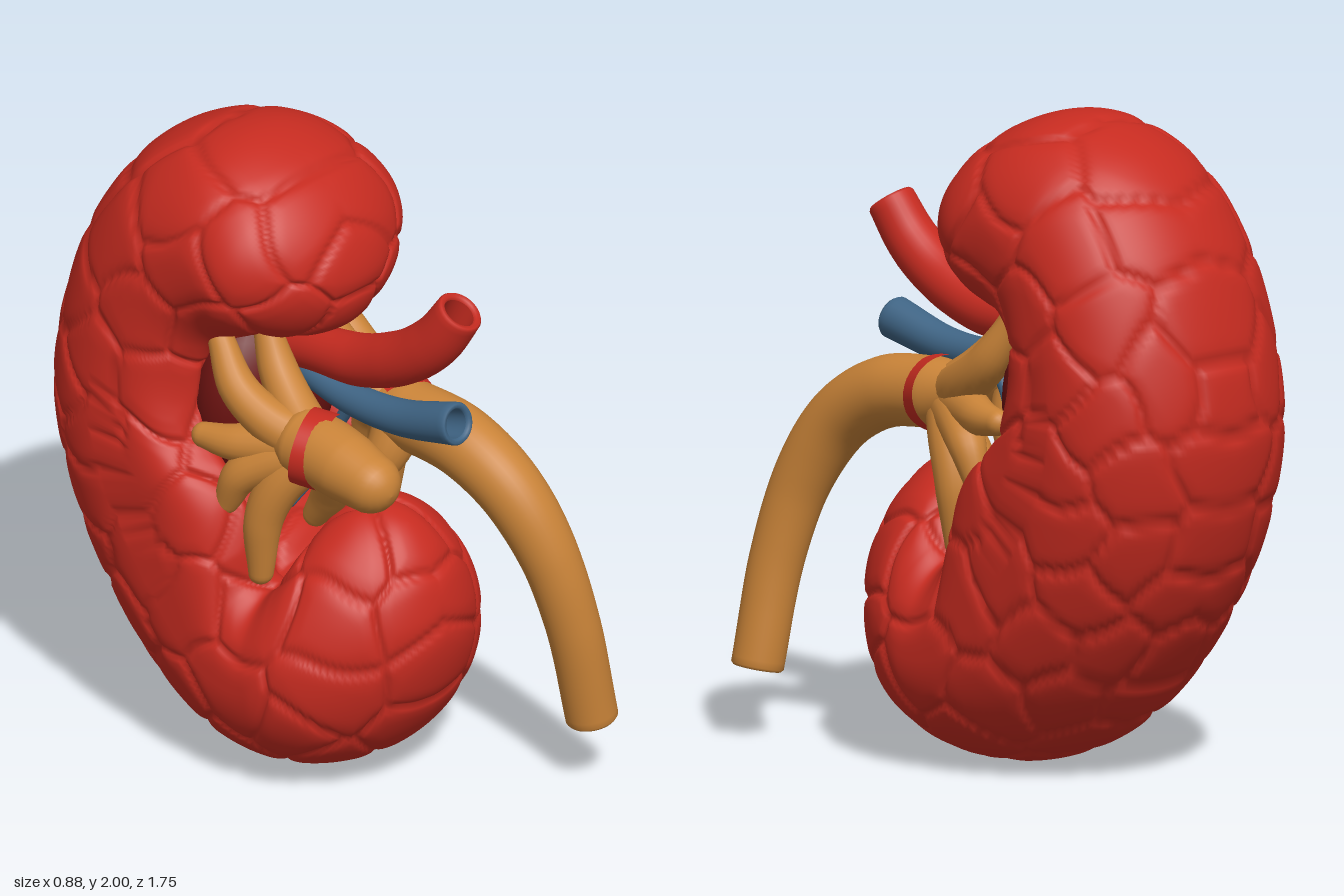
import * as THREE from 'three';

const paint = (name, color) => {
  const m = new THREE.MeshStandardMaterial({ color });
  m.name = name;
  return m;
};
const V = (x, y, z) => new THREE.Vector3(x, y, z);
const smooth = THREE.MathUtils.smoothstep;

// Surface over a grid of points; columns wrap around
function skin(rows) {
  const cols = rows[0].length, pos = [], index = [];
  rows.forEach(row => row.forEach(p => pos.push(p.x, p.y, p.z)));
  for (let i = 0; i < rows.length - 1; i++) {
    for (let j = 0; j < cols; j++) {
      const a = i * cols + j, b = i * cols + (j + 1) % cols;
      index.push(a, b, a + cols, b, b + cols, a + cols);
    }
  }
  const g = new THREE.BufferGeometry();
  g.setAttribute('position', new THREE.Float32BufferAttribute(pos, 3));
  g.setIndex(index);
  g.computeVertexNormals();
  return g;
}

// Tube with changing radius; its end is 'open' (hollow) or 'round'
function vessel(points, radii, end = 'round', sides = 24, n = 40) {
  const curve = new THREE.CatmullRomCurve3(points.map(p => V(...p)));
  const frames = curve.computeFrenetFrames(n);
  const rings = [];
  for (let i = 0; i <= n; i++) {
    const f = (i / n) * (radii.length - 1), k = Math.min(Math.floor(f), radii.length - 2);
    rings.push([i, THREE.MathUtils.lerp(radii[k], radii[k + 1], f - k), 0]);
  }
  const r = radii[radii.length - 1];
  if (end === 'open') {
    rings.push([n, r * 0.92, 0.008], [n, r * 0.74, 0.006], [n, r * 0.68, -0.004], [n, r * 0.68, -0.004]);
    rings.push([n - 6, r * 0.66, 0], [n - 14, r * 0.6, 0], [n - 14, 0, 0]);
  } else {
    for (let k = 1; k <= 6; k++) {
      const a = k * Math.PI / 12;
      rings.push([n, r * Math.cos(a), r * Math.sin(a)]);
    }
  }
  return skin(rings.map(([i, rad, off]) => {
    const c = curve.getPointAt(i / n).addScaledVector(frames.tangents[i], off);
    return Array.from({ length: sides }, (_, j) => {
      const a = (j / sides) * Math.PI * 2;
      return c.clone().addScaledVector(frames.normals[i], rad * Math.cos(a))
        .addScaledVector(frames.binormals[i], rad * Math.sin(a));
    });
  }));
}

// Bean-shaped body: ribs span the outer and inner outline, then lobes are creased in
function bodyGeometry() {
  const outer = [[0.19, 1.62], [0.13, 1.79], [0, 1.92], [-0.22, 1.995], [-0.5, 1.91], [-0.7, 1.69],
    [-0.82, 1.4], [-0.87, 1.08], [-0.81, 0.75], [-0.67, 0.46], [-0.42, 0.17], [-0.15, 0.025],
    [0.1, 0.01], [0.32, 0.1], [0.46, 0.27], [0.53, 0.5], [0.49, 0.72]];
  const inner = [[0.04, 1.4], [-0.05, 1.385], [-0.12, 1.36], [-0.16, 1.32], [-0.18, 1.27], [-0.185, 1.2],
    [-0.18, 1.12], [-0.15, 1.04], [-0.08, 0.98], [-0.01, 0.91], [0.03, 0.82], [0.04, 0.72],
    [0.065, 0.69], [0.09, 0.74], [0.12, 0.81], [0.17, 0.87], [0.24, 0.9]];
  const loop = [[0.14, 1.46], ...outer, [0.38, 0.86], ...inner.slice().reverse()];
  const outline = new THREE.CatmullRomCurve3(loop.map(([z, y]) => V(0, y, z)), true);
  const ribs = outer.length + 1, steps = 260, sides = 180, rows = [];
  for (let i = 0; i <= steps; i++) {
    const r = (i / steps) * ribs;
    const a = outline.getPoint(r / loop.length), b = outline.getPoint((1 - r / loop.length) % 1);
    const c = a.clone().add(b).multiplyScalar(0.5), h = a.clone().sub(b).multiplyScalar(0.5);
    const cap = Math.sin(Math.min(1, r / 3.2, (ribs - r) / 4.8) * Math.PI / 2);
    const width = THREE.MathUtils.lerp(0.39, 0.436, smooth(r, 3, 9)) * cap;
    const hilum = Math.exp(-(((r - 9) / 3.2) ** 2));
    rows.push(Array.from({ length: sides }, (_, j) => {
      const t = (j / sides) * Math.PI * 2, co = Math.cos(t), si = Math.sin(t);
      const power = co < 0 ? 0.95 - 0.6 * hilum : 0.97;
      const x = Math.sign(si) * Math.abs(si) ** 0.97 * width;
      let u = Math.sign(co) * Math.abs(co) ** power;
      if (co < 0) u += 0.45 * hilum * (1 - smooth(Math.abs(x), 0.16, 0.28));
      return c.clone().addScaledVector(h, u).setX(x);
    }));
  }
  const g = skin(rows), pos = g.attributes.position, nor = g.attributes.normal;

  // Scattered lobe centres, mirrored in x
  let state = 7;
  const random = () => (state = (state * 16807) % 2147483647) / 2147483647;
  const seeds = [], p = V(0, 0, 0), q = V(0, 0, 0);
  for (let k = 0; k < 3000; k++) {
    p.fromBufferAttribute(pos, Math.floor(random() * pos.count));
    p.x = Math.abs(p.x);
    if (seeds.every(s => s.distanceTo(p) > 0.2)) seeds.push(p.clone());
  }
  for (let i = 0; i < pos.count; i++) {
    p.fromBufferAttribute(pos, i);
    q.set(Math.abs(p.x) + 0.02 * Math.sin(p.y * 17), p.y + 0.022 * Math.sin(p.z * 19), p.z + 0.022 * Math.sin(p.y * 15 + 1));
    let d1 = 9, d2 = 9;
    for (const s of seeds) {
      const d = s.distanceTo(q);
      if (d < d1) { d2 = d1; d1 = d; } else if (d < d2) d2 = d;
    }
    const e = d2 - d1;
    const push = 0.005 * smooth(e, 0, 0.1) - 0.013 * Math.exp(-((e / 0.016) ** 2));
    pos.setXYZ(i, p.x + nor.getX(i) * push, p.y + nor.getY(i) * push, p.z + nor.getZ(i) * push);
  }
  g.computeVertexNormals();
  return g;
}

export function createModel() {
  const red = paint('tissueRed', 0xc62b20), ochre = paint('ductOchre', 0xc98338);
  const blue = paint('veinBlue', 0x3f6484), dark = paint('innerDarkRed', 0x6a1210);
  const model = new THREE.Group();
  const add = (name, geometry, material) => {
    const mesh = new THREE.Mesh(geometry, material);
    mesh.name = name;
    model.add(mesh);
    return mesh;
  };

  add('kidneyBody', bodyGeometry(), red);

  // Dark lining of the central hollow
  const lining = add('hollowLining', new THREE.SphereGeometry(1, 32, 24), dark);
  lining.scale.set(0.27, 0.3, 0.16);
  lining.position.set(0, 1.13, -0.2);

  // Long open duct on the left, short closed duct on the right
  add('longDuct', vessel([[0.18, 1.12, 0.03], [0.18, 1.105, 0.22], [0.19, 1.08, 0.42], [0.21, 0.98, 0.59],
    [0.25, 0.8, 0.705], [0.3, 0.55, 0.77], [0.36, 0.22, 0.795]],
  [0.07, 0.108, 0.11, 0.105, 0.098, 0.089, 0.084, 0.081, 0.08], 'open', 32, 70), ochre);
  add('shortDuct', vessel([[-0.18, 1.12, 0.03], [-0.185, 1.11, 0.2], [-0.195, 1.095, 0.32], [-0.2, 1.08, 0.41]],
    [0.07, 0.108, 0.11, 0.106, 0.092], 'round', 32), ochre);

  // Branches fanning into the body, and a slanted red band round the outside of each duct
  const branches = [
    [[0.18, 1.12, 0.13], [0.23, 1.17, 0.03], [0.25, 1.25, -0.08], [0.23, 1.38, -0.17]],
    [[0.17, 1.13, 0.13], [0.15, 1.2, 0.05], [0.13, 1.29, -0.03], [0.115, 1.41, -0.09]],
    [[0.18, 1.1, 0.13], [0.23, 1.09, 0.03], [0.28, 1.08, -0.08], [0.3, 1.08, -0.17]],
    [[0.19, 1.08, 0.13], [0.25, 1.04, 0.04], [0.29, 0.99, -0.03], [0.3, 0.89, -0.08]],
    [[0.18, 1.08, 0.15], [0.24, 0.99, 0.09], [0.27, 0.87, 0.045], [0.27, 0.68, 0.03]],
    [[0.16, 1.08, 0.2], [0.12, 1.0, 0.19], [0.09, 0.92, 0.15], [0.08, 0.82, 0.08]],
  ];
  for (const side of [1, -1]) {
    for (const path of branches) {
      add('ductBranch', vessel(path.map(([x, y, z]) => [x * side, y, z]), [0.08, 0.068, 0.058, 0.04], 'round', 18, 20), ochre);
    }
    const arc = Math.PI + 0.4;
    const band = add('ductBand', new THREE.CylinderGeometry(0.117, 0.117, 0.08, 32, 1, true, side > 0 ? 0.2 : -0.2 - arc, arc), red);
    band.position.set(0.182 * side, 1.107, 0.175);
    band.rotation.set(Math.PI / 2 + 0.15, 0, 0.36 * side);
    band.scale.x = 1.07;
  }

  // Vessels between the ducts
  add('artery', vessel([[0, 1.28, -0.18], [0, 1.32, 0], [0, 1.345, 0.2], [0, 1.42, 0.38], [0.01, 1.51, 0.49], [0.025, 1.62, 0.565]],
    [0.06, 0.07, 0.08, 0.084, 0.082, 0.074], 'open', 28), red);
  add('vein', vessel([[0, 1.28, -0.15], [0, 1.23, 0], [0, 1.2, 0.16], [0, 1.205, 0.35], [0, 1.26, 0.575]],
    [0.04, 0.045, 0.052, 0.058, 0.066], 'open', 28), blue);
  for (const side of [1, -1]) {
    add('veinBranch', vessel([[0, 1.2, 0.16], [0.005 * side, 1.08, 0.09], [0.03 * side, 0.95, 0.05], [0.13 * side, 0.86, 0.02]],
      [0.022, 0.018, 0.018, 0.02], 'round', 14, 20), blue);
  }
  return model;
}
